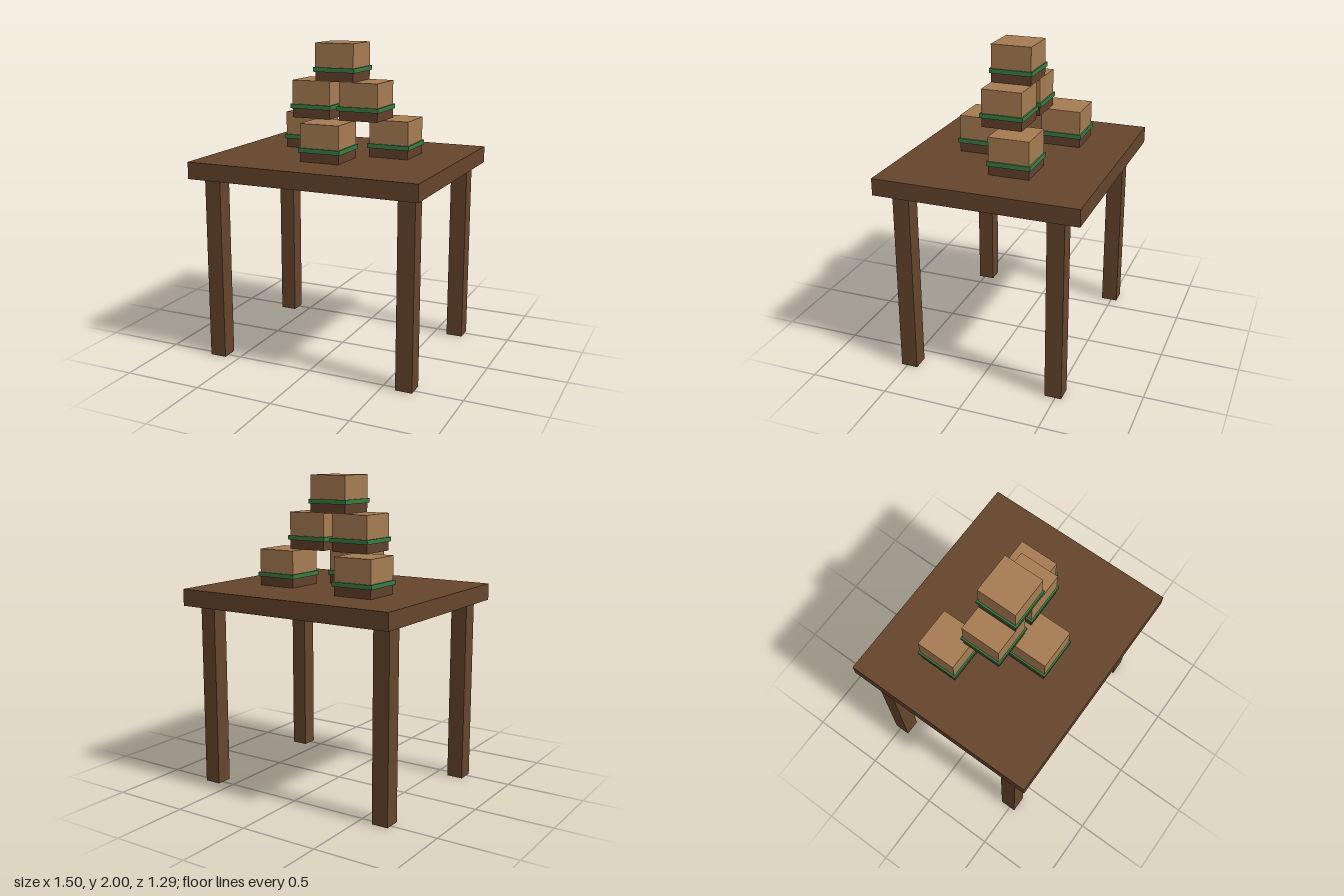
import * as THREE from 'three';

const material = (name, color) => {
  const m = new THREE.MeshStandardMaterial({ color });
  m.name = name;
  return m;
};

export function createModel() {
  const wood = material('wood', 0x65452d);
  const base = material('darkBrown', 0x62412b);
  const tan = material('tan', 0xa67c52);
  const green = material('green', 0x3a7d44);

  // Box standing on height y
  const box = (parent, name, mat, w, h, d, x, y, z) => {
    const mesh = new THREE.Mesh(new THREE.BoxGeometry(w, h, d), mat);
    mesh.name = name;
    mesh.position.set(x, y + h / 2, z);
    parent.add(mesh);
  };

  const model = new THREE.Group();
  model.name = 'tableWithStack';

  // Table
  const table = new THREE.Group();
  table.name = 'table';
  model.add(table);
  box(table, 'tableTop', wood, 1.5, 0.107, 1.286, 0, 1.185, 0);
  for (const x of [-0.643, 0.643])
    for (const z of [-0.485, 0.485])
      box(table, 'tableLeg', wood, 0.107, 1.185, 0.107, x, 0, z);

  // Pyramid of layered blocks: x, level, z
  const spots = [
    [-0.322, 0, -0.215], [0, 0, 0.215], [0.322, 0, -0.107],
    [-0.161, 1, 0], [0.161, 1, 0],
    [0, 2, 0],
  ];
  for (const [x, level, z] of spots) {
    const block = new THREE.Group();
    block.name = 'layeredBlock';
    block.position.set(x, 1.292 + level * 0.236, z);
    model.add(block);
    box(block, 'blockBase', base, 0.258, 0.062, 0.258, 0, 0, 0);
    box(block, 'greenLayer', green, 0.278, 0.028, 0.278, 0, 0.058, 0);
    box(block, 'blockTop', tan, 0.258, 0.152, 0.258, 0, 0.084, 0);
  }
  return model;
}
